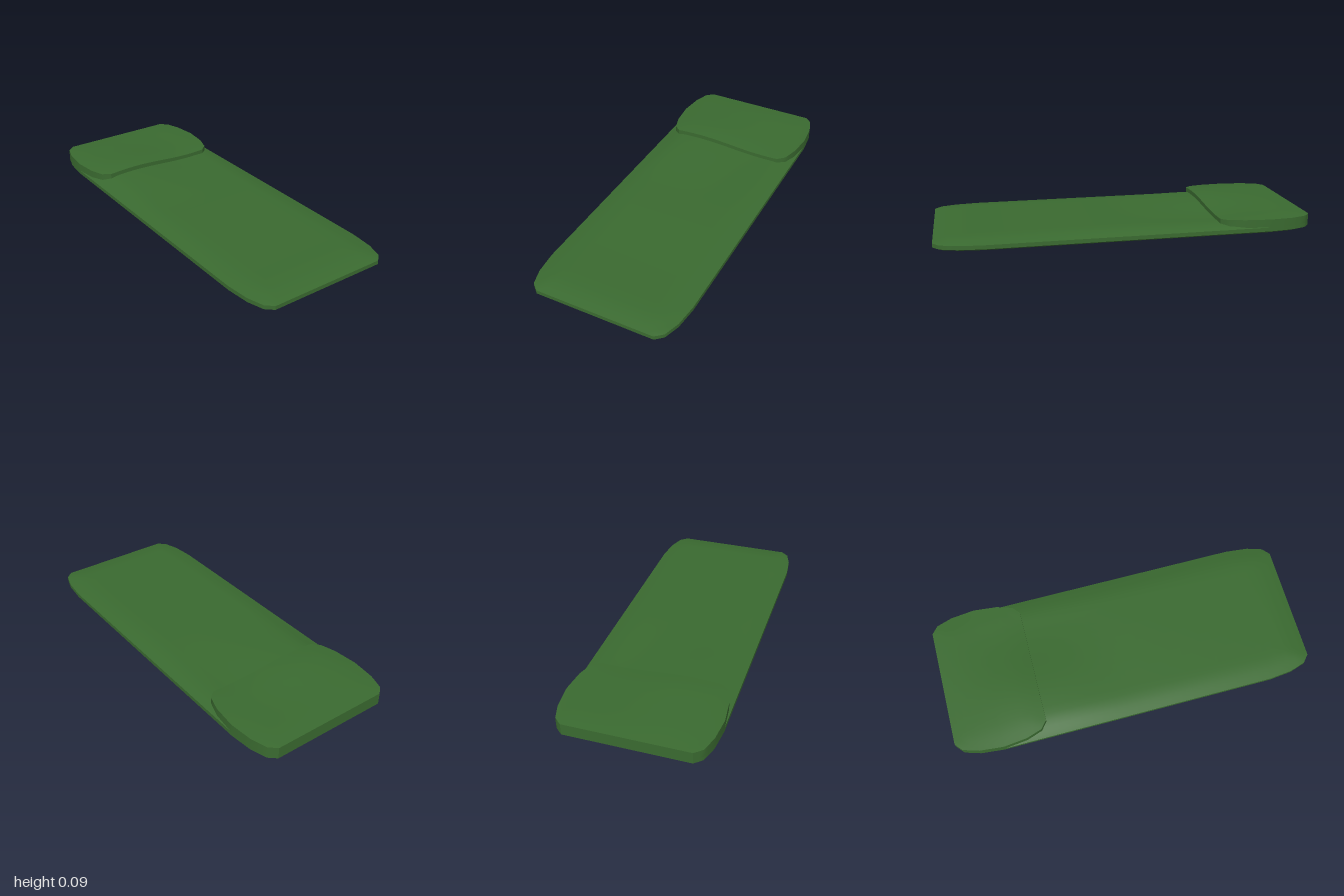
import * as THREE from 'three';
import { toCreasedNormals, mergeVertices } from 'three/addons/utils/BufferGeometryUtils.js';

// Half-width of the outline by distance from an end (clipped corners)
const CORNER = [[0, 0.325], [0.035, 0.365], [0.12, 0.392], [0.245, 0.405]];
function halfWidth(d) {
  for (let i = 1; i < CORNER.length; i++) {
    const [d0, w0] = CORNER[i - 1], [d1, w1] = CORNER[i];
    if (d <= d1) return w0 + (w1 - w0) * (d - d0) / (d1 - d0);
  }
  return 0.405;
}

const wave = x => Math.cos((x + 0.17) * Math.PI * 2 / 0.8);

// Padded slab between two z values: domed top, upright wall, bevelled flat underside.
// top(x, z, e) gives the height; e runs from 0 at the rim to 1 inside.
function paddedSlab(z0, z1, floor, bevel, midRows, top) {
  const steps = [0, 0.018, 0.035, 0.075, 0.12, 0.18, 0.245];
  const zs = steps.map(s => z0 + s);
  const a = z0 + 0.245, b = z1 - 0.245;
  for (let i = 1; i < midRows; i++) zs.push(a + (b - a) * i / midRows);
  steps.slice().reverse().forEach(s => zs.push(z1 - s));
  const rows = [...new Set(zs.map(z => +z.toFixed(4)))];
  const nx = 24, nz = rows.length - 1, cz = (z0 + z1) / 2;
  const pos = [], index = [];

  const point = (i, j) => {
    const z = rows[j], d = Math.min(z - z0, z1 - z), w = halfWidth(d);
    const u = Math.sin((i / nx * 2 - 1) * Math.PI / 2);
    const x = u * w;
    const e = THREE.MathUtils.smoothstep(Math.min(d, w - Math.abs(x)), -0.08, 0.12);
    return [x, z, Math.max(0, (e - 0.352) / 0.648)];
  };
  const shrinkX = 1 - bevel / 0.405, shrinkZ = 1 - bevel / ((z1 - z0) / 2);
  const under = (x, z, y) => pos.push(x * shrinkX, y, cz + (z - cz) * shrinkZ);

  // Top and underside sheets
  for (const side of [0, 1]) {
    const base = pos.length / 3;
    for (let j = 0; j <= nz; j++) for (let i = 0; i <= nx; i++) {
      const [x, z, e] = point(i, j);
      if (side) under(x, z, floor);
      else pos.push(x, top(x, z, e), z);
    }
    for (let j = 0; j < nz; j++) for (let i = 0; i < nx; i++) {
      const p = base + j * (nx + 1) + i, q = p + nx + 1;
      if (side) index.push(p, p + 1, q, p + 1, q + 1, q);
      else index.push(p, q, p + 1, p + 1, q, q + 1);
    }
  }

  // Wall and bevel around the rim
  const rim = [];
  for (let i = 0; i < nx; i++) rim.push([i, nz]);
  for (let j = nz; j > 0; j--) rim.push([nx, j]);
  for (let i = nx; i > 0; i--) rim.push([i, 0]);
  for (let j = 0; j < nz; j++) rim.push([0, j]);
  const base = pos.length / 3, n = rim.length;
  for (const [i, j] of rim) {
    const [x, z, e] = point(i, j);
    pos.push(x, top(x, z, e), z);
    pos.push(x, floor + bevel * 0.55, z);
    under(x, z, floor);
  }
  for (let k = 0; k < n; k++) for (let r = 0; r < 2; r++) {
    const p = base + k * 3 + r, q = base + ((k + 1) % n) * 3 + r;
    index.push(p, p + 1, q, q, p + 1, q + 1);
  }

  const geo = new THREE.BufferGeometry();
  geo.setAttribute('position', new THREE.Float32BufferAttribute(pos, 3));
  geo.setIndex(index);
  return toCreasedNormals(mergeVertices(geo, 1e-5), 0.55);
}

export function createModel() {
  const group = new THREE.Group();
  group.name = 'sleepingBag';
  const green = new THREE.MeshStandardMaterial({ color: 0x3a6a30 });
  const add = (name, geo) => {
    const mesh = new THREE.Mesh(geo, green);
    mesh.name = name;
    group.add(mesh);
  };

  // Long padded body, swelling gently towards the flap
  add('body', paddedSlab(-1, 1, 0, 0.018, 24, (x, z, e) => {
    const near = THREE.MathUtils.smoothstep(-z, 0, 0.5);
    const puff = 0.016 + 0.004 * THREE.MathUtils.smoothstep(-z, -0.8, 0) + near * (0.005 + 0.01 * wave(x));
    return 0.031 + e * puff;
  }));

  // Folded-over flap with a wavy front edge, flattening towards the back
  add('foldedFlap', paddedSlab(-1, -0.5, 0.03, 0, 2, (x, z, e) => {
    const front = THREE.MathUtils.smoothstep(z, -1, -0.55);
    return 0.074 + 0.005 * front + front * 0.011 * wave(x) + 0.006 * e;
  }));

  return group;
}
